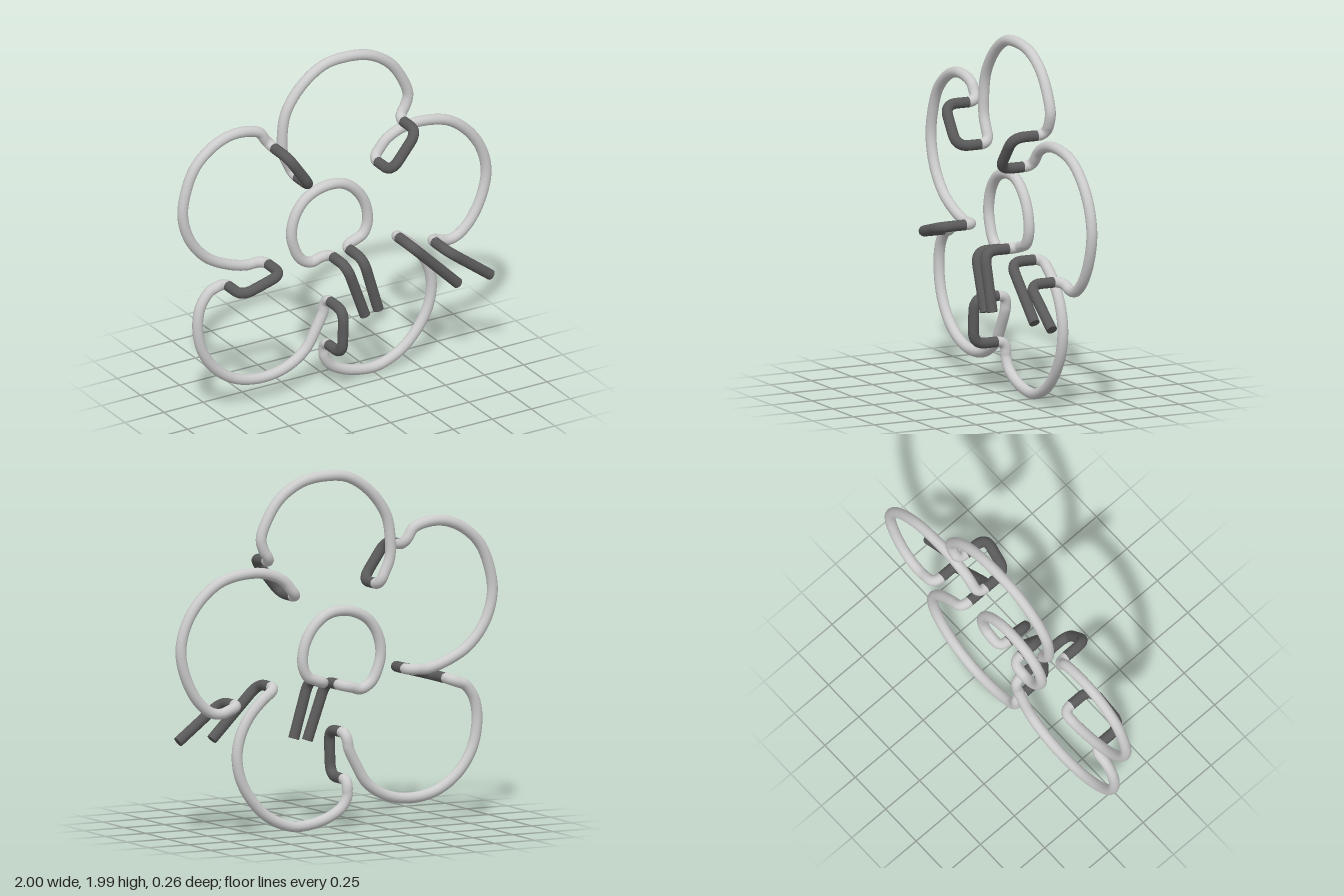
import * as THREE from 'three';

const R = 0.03, BACK = -0.1, FRONT = 0.1, SPLIT = -0.045;
const V = (x, y, z) => new THREE.Vector3(x, y, z);

// Petal outlines in order round the flower; first and last points are where the tube bends forward.
const petals = [
  ['bottomPetal', [[.38, .81], [.465, .745], [.545, .66], [.6, .555], [.62, .445], [.6, .325], [.535, .205], [.43, .1],
    [.295, .04], [.2, .035], [.065, .065], [-.03, .12], [-.065, .18], [-.07, .27]]],
  ['lowerLeftPetal', [[-.06, .53], [-.075, .445], [-.12, .355], [-.19, .245], [-.31, .17], [-.46, .145], [-.62, .175],
    [-.755, .265], [-.845, .4], [-.875, .56], [-.855, .675], [-.8, .75], [-.71, .785]]],
  ['upperLeftPetal', [[-.455, .855], [-.565, .855], [-.685, .89], [-.82, .965], [-.925, 1.095], [-.97, 1.25],
    [-.95, 1.395], [-.89, 1.53], [-.79, 1.62], [-.685, 1.665], [-.58, 1.67], [-.48, 1.64], [-.415, 1.55]]],
  ['topPetal', [[-.27, 1.34], [-.33, 1.48], [-.335, 1.57], [-.31, 1.72], [-.21, 1.86], [-.07, 1.95], [.07, 1.965],
    [.22, 1.94], [.35, 1.86], [.43, 1.75], [.47, 1.64], [.45, 1.57], [.41, 1.51]]],
  ['rightPetal', [[.245, 1.305], [.33, 1.4], [.43, 1.445], [.555, 1.455], [.72, 1.42], [.845, 1.33], [.935, 1.2],
    [.97, 1.055], [.94, .905], [.865, .77], [.78, .7], [.715, .69], [.61, .725]]],
];
const centre = [[-.04, .795], [-.15, .77], [-.215, .805], [-.26, .89], [-.275, .98], [-.245, 1.09], [-.175, 1.17],
  [-.065, 1.21], [.05, 1.2], [.145, 1.13], [.2, 1.03], [.21, .925], [.18, .86], [.14, .84], [.065, .815]];

export function createModel() {
  const group = new THREE.Group();
  const lit = new THREE.MeshStandardMaterial({ color: 0xcccccc });
  const dark = new THREE.MeshStandardMaterial({ color: 0x5a5a5a });

  const addTube = (name, curves, segments, material) => {
    const path = new THREE.CurvePath();
    curves.forEach(c => path.add(c));
    const mesh = new THREE.Mesh(new THREE.TubeGeometry(path, segments, R, 16), material);
    mesh.name = name;
    group.add(mesh);
  };

  // Flat outline lying at the back, with both ends curling forward
  const addLoop = (name, outline) => {
    const pts = outline.map(([x, y]) => V(x, y, BACK));
    const n = pts.length - 1;
    const first = pts[0].clone(), last = pts[n].clone();
    pts[0].add(pts[1].clone().sub(first).setLength(0.055));
    pts[n].add(pts[n - 1].clone().sub(last).setLength(0.055));
    addTube(name, [
      new THREE.QuadraticBezierCurve3(V(first.x, first.y, SPLIT), first, pts[0]),
      new THREE.CatmullRomCurve3(pts),
      new THREE.QuadraticBezierCurve3(pts[n], last, V(last.x, last.y, SPLIT)),
    ], 200, lit);
  };

  // Dark connector: forward, across the front, and optionally back again
  const addLink = (name, a, b, returns) => {
    const A = V(a[0], a[1], FRONT), B = V(b[0], b[1], FRONT);
    const step = B.clone().sub(A).setLength(0.075);
    const a0 = V(A.x, A.y, SPLIT), a1 = V(A.x, A.y, FRONT - 0.075), a2 = A.clone().add(step);
    const curves = [new THREE.LineCurve3(a0, a1), new THREE.QuadraticBezierCurve3(a1, A, a2)];
    if (returns) {
      const b0 = V(B.x, B.y, SPLIT), b1 = V(B.x, B.y, FRONT - 0.075), b2 = B.clone().sub(step);
      curves.push(new THREE.LineCurve3(a2, b2), new THREE.QuadraticBezierCurve3(b2, B, b1),
        new THREE.LineCurve3(b1, b0));
    } else {
      curves.push(new THREE.LineCurve3(a2, B));
      const cap = new THREE.Mesh(new THREE.CircleGeometry(R, 16), dark);
      cap.name = name + 'Cap';
      cap.position.copy(B);
      cap.quaternion.setFromUnitVectors(V(0, 0, 1), step.clone().normalize());
      group.add(cap);
    }
    addTube(name, curves, 60, dark);
  };

  petals.forEach(([name, outline], i) => {
    addLoop(name, outline);
    if (i < petals.length - 1) addLink('petalLink' + (i + 1), outline.at(-1), petals[i + 1][1][0], true);
  });
  addLoop('centreRing', centre);

  // Open tails
  addLink('petalTailRight', petals[4][1].at(-1), [.88, .52], false);
  addLink('petalTailLeft', petals[0][1][0], [.67, .52], false);
  addLink('centreTailLeft', centre[0], [.075, .475], false);
  addLink('centreTailRight', centre.at(-1), [.16, .49], false);
  return group;
}
